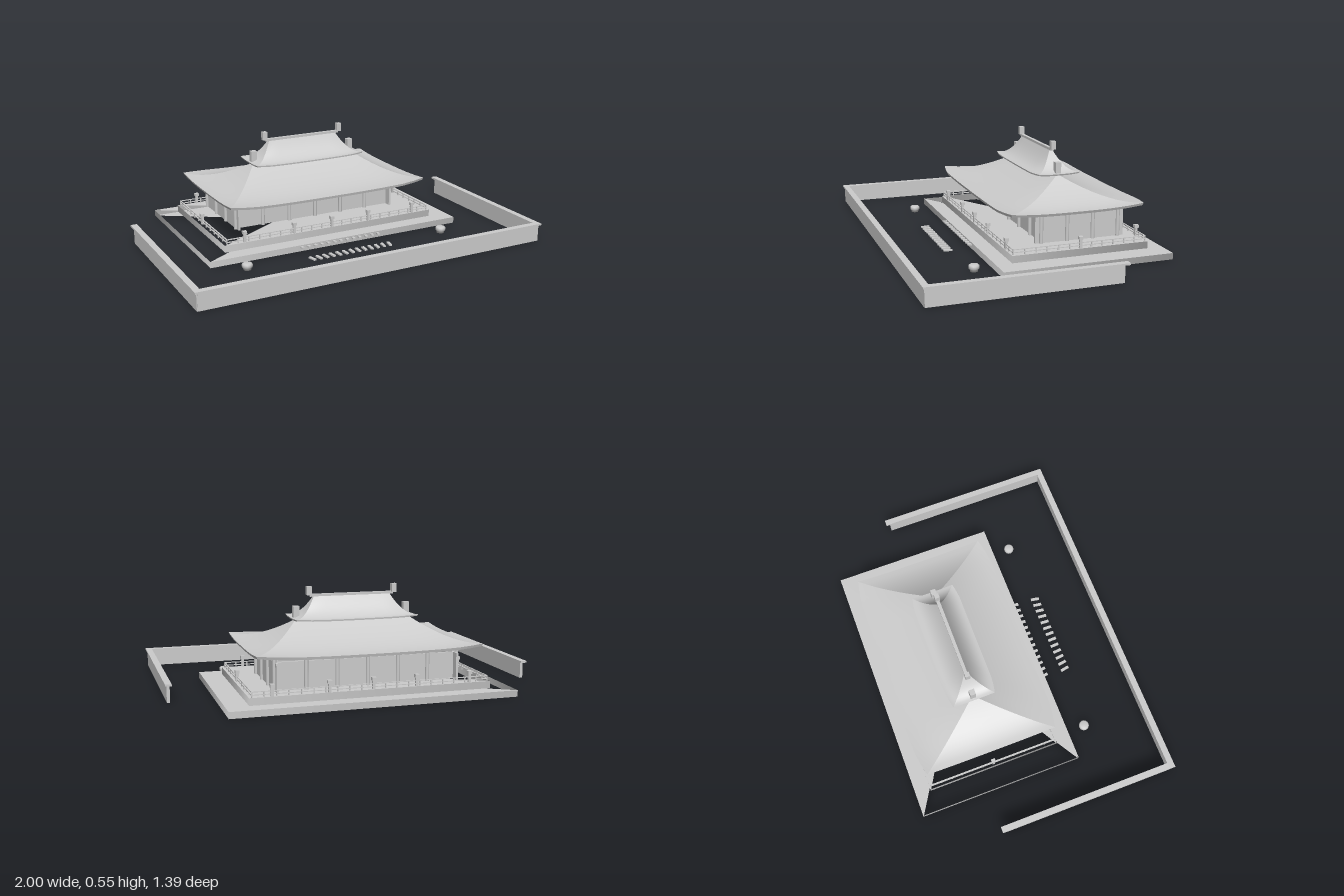
import * as THREE from 'three';

const CZ = -0.235; // centre line of the hall and its terrace

export function createModel() {
  const model = new THREE.Group();
  const stone = new THREE.MeshStandardMaterial({ color: 0xcccccc, side: THREE.DoubleSide });
  stone.name = 'pale grey';

  function add(name, geometry, x = 0, y = 0, z = 0, parent = model) {
    const mesh = new THREE.Mesh(geometry, stone);
    mesh.name = name;
    mesh.position.set(x, y, z);
    parent.add(mesh);
    return mesh;
  }
  // Box given by its centre in x and z and its bottom in y
  const box = (name, w, h, d, x, y, z, parent) =>
    add(name, new THREE.BoxGeometry(w, h, d), x, y + h / 2, z, parent);
  function group(name) {
    const g = new THREE.Group();
    g.name = name;
    model.add(g);
    return g;
  }

  // Low enclosing wall on three sides, with a wider coping
  const wall = group('courtyardWall');
  box('frontWall', 1.97, 0.09, 0.016, 0, 0, 0.674, wall);
  box('frontCoping', 2, 0.01, 0.034, 0, 0.09, 0.674, wall);
  for (const s of [-1, 1]) {
    box('sideWall', 0.016, 0.09, 0.98, s * 0.982, 0, 0.19, wall);
    box('sideCoping', 0.034, 0.01, 0.982, s * 0.983, 0.09, 0.167, wall);
  }

  // Two terrace tiers, each open over the left quarter of its caps
  const terrace = group('terrace');
  const tier = (name, hx, hz, y0, y1) => {
    const side = new THREE.CylinderGeometry(Math.SQRT2, Math.SQRT2, y1 - y0, 4, 1, true);
    side.rotateY(Math.PI / 4).scale(hx, 1, hz);
    add(name + 'Side', side, 0, (y0 + y1) / 2, CZ, terrace);
    for (const [y, dir] of [[y0, 1], [y1, -1]]) {
      const cap = new THREE.CircleGeometry(Math.SQRT2, 3, -Math.PI * 0.75, Math.PI * 1.5);
      cap.rotateX(dir * Math.PI / 2).scale(hx, 1, hz);
      add(name + 'Cap', cap, 0, y, CZ, terrace);
    }
  };
  tier('lowerTier', 0.75, 0.46, 0, 0.034);
  tier('upperTier', 0.635, 0.375, 0.034, 0.072);

  // Railing around the terrace
  const railing = group('railing');
  const RX = 0.62, RZ = 0.365;
  for (const s of [-1, 1]) {
    for (const y of [0.082, 0.097]) {
      box('longRail', RX * 2, 0.004, 0.007, 0, y, CZ + s * RZ, railing);
      box('shortRail', 0.007, 0.004, RZ * 2, s * RX, y, CZ, railing);
    }
    for (let i = 0; i <= 20; i++)
      box('baluster', 0.006, 0.028, 0.006, RX * (i / 10 - 1), 0.071, CZ + s * RZ, railing);
    for (let i = 1; i < 12; i++)
      box('baluster', 0.006, 0.028, 0.006, s * RX, 0.071, CZ + RZ * (i / 6 - 1), railing);
    const posts = [-0.52, -0.23, 0, 0.23, 0.52].map((x) => [x, CZ + s * RZ]);
    posts.push([s * RX, CZ]);
    for (const [x, z] of posts) {
      box('post', 0.014, 0.045, 0.014, x, 0.071, z, railing);
      box('postHead', 0.022, 0.016, 0.022, x, 0.116, z, railing);
    }
  }

  // Hall: wall panels, columns and head beams
  const hall = group('hall');
  for (const s of [-1, 1]) {
    box('sidePanel', 0.012, 0.143, 0.5, s * 0.478, 0.072, -0.29, hall);
    box('longPanel', 0.956, 0.143, 0.012, 0, 0.072, -0.29 + s * 0.205, hall);
    box('headBeam', 0.98, 0.012, 0.014, 0, 0.222, -0.29 + s * 0.215, hall);
  }
  box('doorLintel', 0.24, 0.012, 0.012, 0, 0.208, -0.075, hall);
  const column = new THREE.CylinderGeometry(0.011, 0.011, 0.165, 8);
  for (let i = -3; i <= 3; i++)
    for (const z of [-0.073, -0.508]) add('column', column, i * 0.162, 0.1545, z, hall);
  for (const x of [-0.486, 0.486])
    for (const z of [-0.218, -0.363]) add('column', column, x, 0.1545, z, hall);

  // Hipped roofs with concave slopes and lifted corners
  function roof(name, o) {
    const N = 16, rows = [];
    for (let i = 0; i <= 10; i++) rows.push([i / 10, 0, 1]);
    const slope = rows.length;
    rows.push([1, 0, 1], [1, -o.thick, 0.99]); // eave rim
    rows.push([1, -o.thick, 0.99], [1, -o.thick * 0.5, 0.7]); // soffit
    const pos = [], idx = [];
    for (let side = 0; side < 4; side++) {
      const long = side % 2 === 0;
      const start = pos.length / 3;
      rows.forEach(([t, dy, k]) => {
        const hx = THREE.MathUtils.lerp(o.ridgeX, o.eaveX, t) * k;
        const hz = THREE.MathUtils.lerp(0.008, o.eaveZ, t) * k;
        for (let j = 0; j <= N; j++) {
          const s = (j / N) * 2 - 1;
          const bulge = long ? o.bulge * t * Math.min(1, (1 - Math.abs(s)) * 5) : 0;
          const u = s * (long ? hx : hz), d = (long ? hz : hx) + bulge;
          const y = o.eaveY + (o.topY - o.eaveY) * (1 - t) ** o.curve
            + o.lift * t ** 4 * Math.abs(s) ** 3 + dy;
          const [x, z] = [[u, d], [d, -u], [-u, -d], [-d, u]][side];
          pos.push(x, y, z);
        }
      });
      for (let i = 0; i < rows.length - 1; i++) {
        if (i === slope - 1 || i === slope + 1) continue; // sharp edges
        for (let j = 0; j < N; j++) {
          const a = start + i * (N + 1) + j, c = a + N + 1;
          idx.push(a, c, a + 1, a + 1, c, c + 1);
        }
      }
    }
    const g = new THREE.BufferGeometry();
    g.setAttribute('position', new THREE.Float32BufferAttribute(pos, 3));
    g.setIndex(idx);
    g.computeVertexNormals();
    add(name, g, 0, 0, CZ);
  }
  roof('lowerRoof', { ridgeX: 0.31, eaveX: 0.595, eaveZ: 0.365, bulge: 0.025,
    topY: 0.382, eaveY: 0.255, lift: 0.015, thick: 0.014, curve: 1.8 });
  roof('upperRoof', { ridgeX: 0.21, eaveX: 0.333, eaveZ: 0.117, bulge: 0.013,
    topY: 0.502, eaveY: 0.392, lift: 0.006, thick: 0.008, curve: 2.1 });

  // Ridge and its end ornaments
  box('ridge', 0.46, 0.014, 0.018, 0, 0.499, CZ);
  for (const s of [-1, 1]) {
    box('ridgeOrnament', 0.026, 0.046, 0.026, s * 0.235, 0.508, CZ);
    box('hipOrnament', 0.032, 0.07, 0.03, s * 0.305, 0.383, CZ);
  }

  // Urns in the forecourt
  const urn = new THREE.LatheGeometry([[0, 0], [0.02, 0], [0.022, 0.012], [0.028, 0.016],
    [0.028, 0.03], [0.022, 0.036], [0, 0.036]].map(([x, y]) => new THREE.Vector2(x, y)), 16);
  for (const s of [-1, 1]) add('urn', urn, s * 0.59, 0, 0.325);

  // Two rows of small paving pieces before the terrace
  const paving = group('pavingPieces');
  for (let i = -6; i <= 6; i++) {
    box('longPiece', 0.015, 0.008, 0.048, i * 0.039, 0, 0.355, paving).rotation.y = -i * 0.03;
    box('shortPiece', 0.015, 0.008, 0.03, i * 0.039, 0.02, 0.232, paving).rotation.y = -i * 0.03;
  }
  return model;
}
